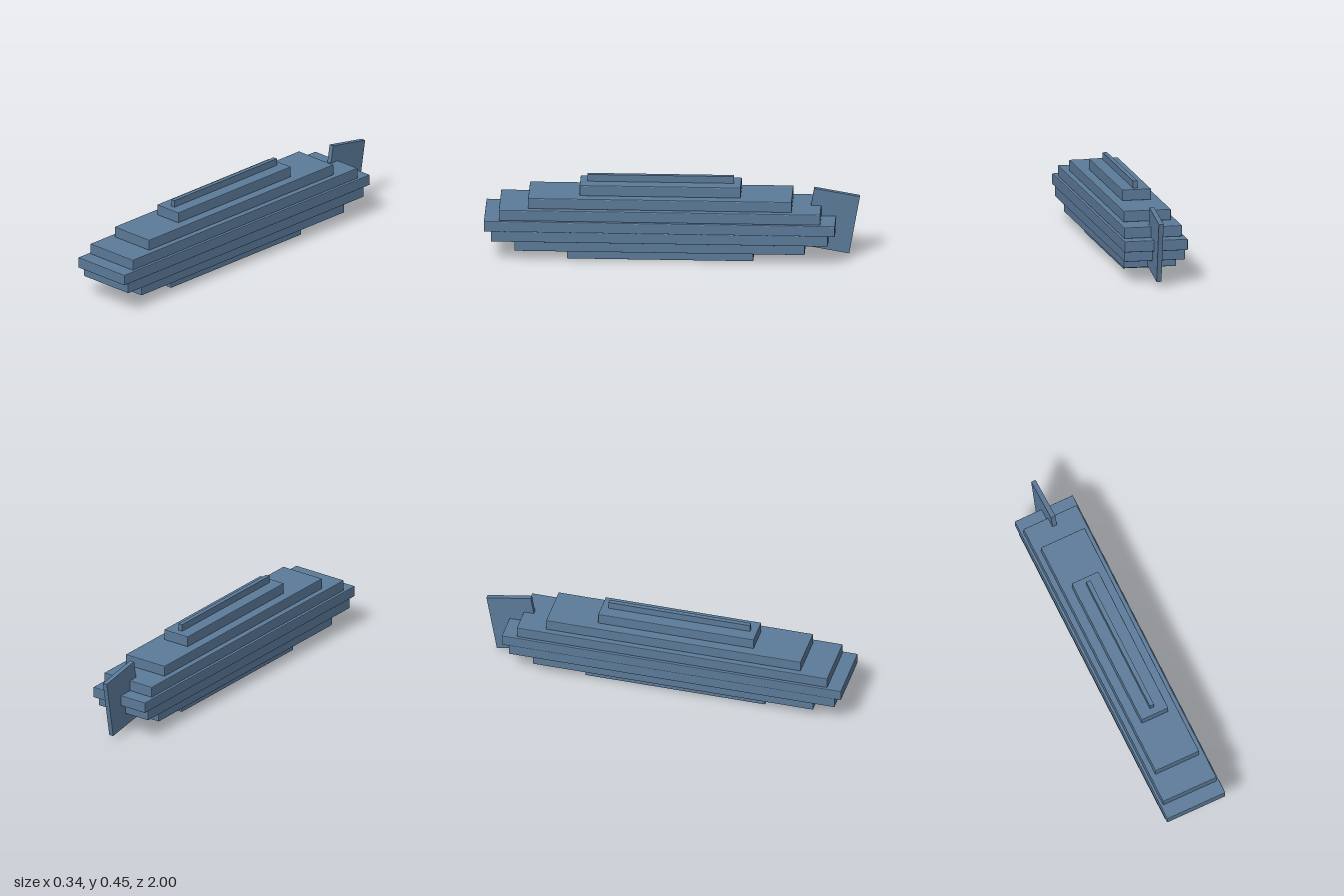
import * as THREE from 'three';
import { RoundedBoxGeometry } from 'three/addons/geometries/RoundedBoxGeometry.js';

export function createModel() {
  const model = new THREE.Group();
  model.name = 'steppedHull';
  const slateBlue = new THREE.MeshStandardMaterial({ color: 0x5b7a99 });
  slateBlue.name = 'slateBlue';

  // Slab with narrow flat chamfers on every edge
  function slab(name, width, height, length, chamfer) {
    const geometry = new RoundedBoxGeometry(width, height, length, 1, chamfer);
    geometry.computeVertexNormals();
    const mesh = new THREE.Mesh(geometry, slateBlue);
    mesh.name = name;
    model.add(mesh);
    return mesh;
  }

  // Stacked hull layers, bottom to top: [half width, front z, back z]
  const layers = [
    [0.09, 0.56, -0.434],
    [0.142, 0.838, -0.71],
    [0.165, 0.963, -0.835],
    [0.172, 1.0, -0.873],
    [0.158, 0.921, -0.794],
    [0.129, 0.766, -0.64],
    [0.079, 0.493, -0.366],
  ];
  const step = 0.059;
  layers.forEach(([halfWidth, front, back], i) => {
    const layer = slab(`hullLayer${i + 1}`, halfWidth * 2, 0.0595, front - back, 0.004);
    layer.position.set(0, 0.03 + i * step, (front + back) / 2);
  });

  // Narrow ridge along the top
  const ridge = new THREE.Mesh(new THREE.BoxGeometry(0.024, 0.04, 0.782), slateBlue);
  ridge.name = 'topRidge';
  ridge.position.set(0, 0.432, 0.064);
  model.add(ridge);

  // Tilted tail plate at the back
  const rudder = new THREE.Mesh(new THREE.BoxGeometry(0.026, 0.329, 0.248), slateBlue);
  rudder.name = 'rudder';
  rudder.position.set(0, 0.209, -0.849);
  rudder.rotation.x = -0.175;
  model.add(rudder);

  return model;
}
